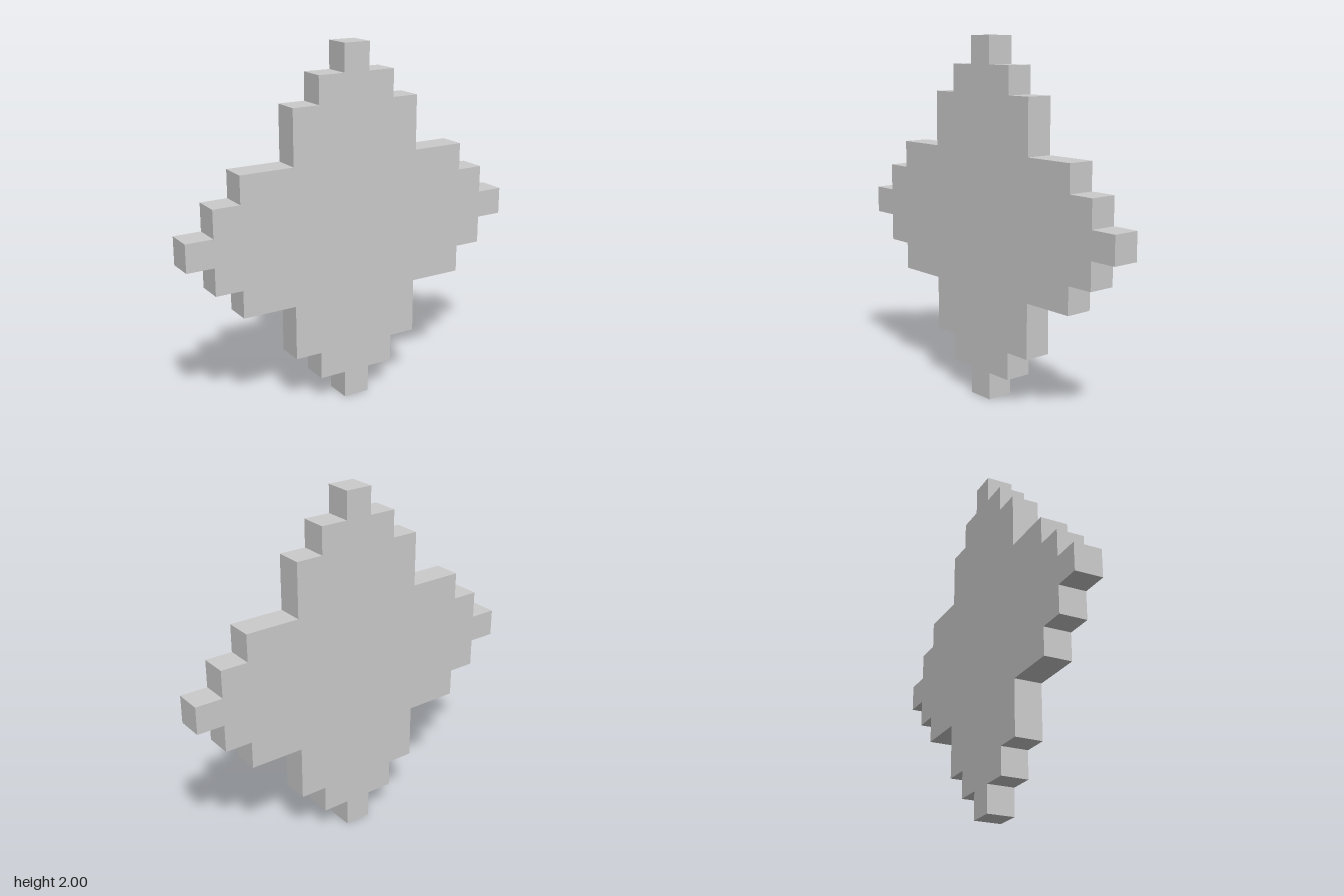
import * as THREE from 'three';

const UNIT = 2 / 13; // one block; the plate is 13 blocks wide and tall

// Stepped edge of one quarter, in blocks from the centre
const QUARTER = [
  [6.5, 0.5], [5.5, 0.5], [5.5, 1.5], [4.5, 1.5], [4.5, 2.5], [2.5, 2.5],
  [2.5, 4.5], [1.5, 4.5], [1.5, 5.5], [0.5, 5.5], [0.5, 6.5],
];

export function createModel() {
  const group = new THREE.Group();
  group.name = 'steppedStar';

  // Turn the quarter edge four times to close the outline
  const outline = [];
  for (let turn = 0; turn < 4; turn++) {
    for (const [x, y] of QUARTER) {
      const [px, py] = [[x, y], [-y, x], [-x, -y], [y, -x]][turn];
      outline.push(new THREE.Vector2(px * UNIT, py * UNIT));
    }
  }

  // Plate one block thick, standing on its lowest tip
  const geometry = new THREE.ExtrudeGeometry(new THREE.Shape(outline), {
    depth: UNIT,
    bevelEnabled: false,
  });
  geometry.translate(0, 1, -UNIT / 2);

  const plate = new THREE.Mesh(
    geometry,
    new THREE.MeshStandardMaterial({ color: 0xcccccc, flatShading: true }),
  );
  plate.name = 'steppedPlate';
  group.add(plate);
  return group;
}
